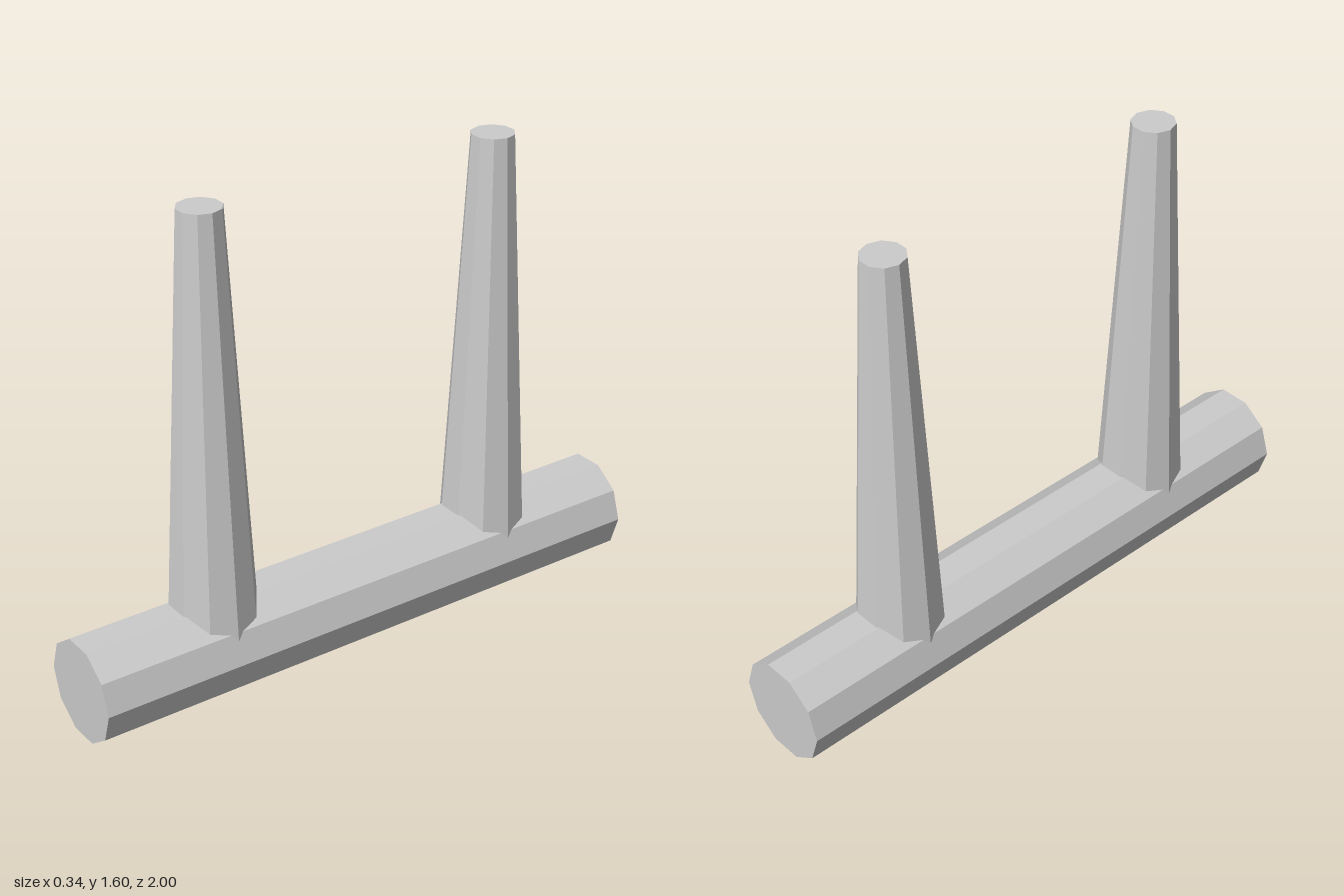
import * as THREE from 'three';

const SIDES = 10;

export function createModel() {
  const group = new THREE.Group();
  const material = new THREE.MeshStandardMaterial({ color: 0xcccccc, flatShading: true });

  // Ten-sided bar with corners on its left and right
  const bar = (name, topRadius, bottomRadius, length) => {
    const geometry = new THREE.CylinderGeometry(
      topRadius, bottomRadius, length, SIDES, 1, false, Math.PI / 2);
    const mesh = new THREE.Mesh(geometry, material);
    mesh.name = name;
    group.add(mesh);
    return mesh;
  };

  // Horizontal base log, resting on a flat side
  const logRadius = 0.168;
  const logY = logRadius * Math.sin(Math.PI * 0.4);
  const log = bar('baseLog', logRadius, logRadius, 2);
  log.rotation.x = Math.PI / 2;
  log.position.y = logY;

  // Two tapered posts rising from the middle of the log
  const topY = 1.604;
  for (const [name, side] of [['frontPost', 1], ['backPost', -1]]) {
    const post = bar(name, 0.07, 0.148, topY - logY);
    post.position.set(0, (topY + logY) / 2, side * 0.528);
  }

  return group;
}
